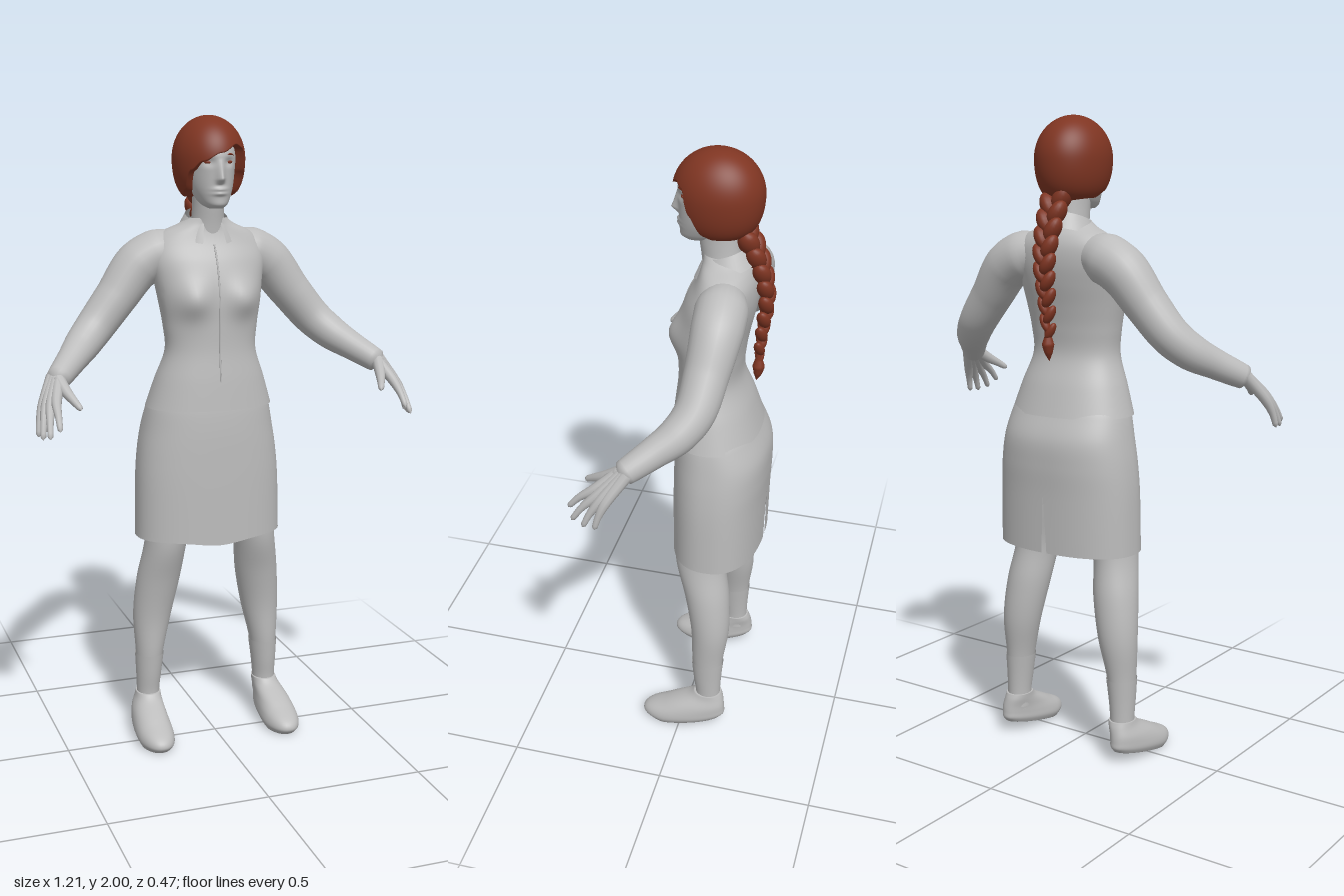
import * as THREE from 'three';
import { mergeVertices } from 'three/addons/utils/BufferGeometryUtils.js';

const grey = new THREE.MeshStandardMaterial({ color: 0xbcbcbc, side: THREE.DoubleSide });
grey.name = 'pale grey';
const auburn = new THREE.MeshStandardMaterial({ color: 0x7f3522, side: THREE.DoubleSide });
auburn.name = 'auburn hair';

const mesh = (name, geometry, material = grey) => {
  const m = new THREE.Mesh(geometry, material);
  m.name = name;
  return m;
};

// weld seams and give smooth normals
function smooth(g) {
  g.deleteAttribute('uv');
  g.deleteAttribute('normal');
  g = mergeVertices(g, 1e-5);
  g.computeVertexNormals();
  return g;
}

// closed surface from fn(u, v): u runs around from the back, v runs upward
function grid(cols, rows, fn) {
  const pos = [], index = [];
  for (let i = 0; i <= rows; i++)
    for (let j = 0; j <= cols; j++) pos.push(...fn(j / cols, i / rows));
  for (let i = 0; i < rows; i++)
    for (let j = 0; j < cols; j++) {
      const a = i * (cols + 1) + j, d = a + cols + 1;
      index.push(a, a + 1, d + 1, a, d + 1, d);
    }
  const g = new THREE.BufferGeometry();
  g.setAttribute('position', new THREE.Float32BufferAttribute(pos, 3));
  g.setIndex(index);
  return smooth(g);
}

// sections, bottom to top: [y, centre x, half width, front z, back z]
function loft(sections, { cols = 48, rows = 40, power = 2, gap = () => 0, rule, cap = false } = {}) {
  const n = sections.length - 1;
  const at = (v) => {
    const i = Math.min(Math.floor(v * n), n - 1), t = v * n - i;
    const [p, q, r, s] = [-1, 0, 1, 2].map((k) => sections[Math.min(Math.max(i + k, 0), n)]);
    return q.map((b, k) => b + 0.5 * t * (r[k] - p[k] +
      t * (2 * p[k] - 5 * b + 4 * r[k] - s[k] + t * (3 * (b - r[k]) + s[k] - p[k]))));
  };
  const bend = (c) => Math.sign(c) * Math.abs(c) ** (2 / power);
  const lo = cap ? 1 / (rows + 2) : 0;
  return grid(cols, cap ? rows + 2 : rows, (u, v) => {
    const w = Math.min(Math.max((v - lo) / (1 - 2 * lo), 0), 1);
    const k = cap && (v < lo / 2 || v > 1 - lo / 2) ? 0 : 1;
    const [y, cx, rx, front, back] = at(w);
    const a = (u * 2 - 1) * (Math.PI - gap(y));
    const p = [cx + k * rx * bend(Math.sin(a)), y,
      (front + back) / 2 + k * (front - back) / 2 * bend(Math.cos(a))];
    if (rule) rule(p);
    return p;
  });
}

// round limb through points [x, y, z, radius]
function limb(points, segments = 40, sides = 20) {
  const curve = new THREE.CatmullRomCurve3(points.map((p) => new THREE.Vector3(p[0], p[1], p[2])));
  const g = new THREE.TubeGeometry(curve, segments, 1, sides);
  const pos = g.attributes.position, v = new THREE.Vector3();
  for (let i = 0; i < pos.count; i++) {
    const u = Math.floor(i / (sides + 1)) / segments;
    const t = curve.getUtoTmapping(u) * (points.length - 1);
    const k = Math.min(Math.floor(t), points.length - 2);
    const r = THREE.MathUtils.lerp(points[k][3], points[k + 1][3], t - k);
    const c = curve.getPointAt(u);
    v.fromBufferAttribute(pos, i).sub(c).multiplyScalar(r).add(c);
    pos.setXYZ(i, v.x, v.y, v.z);
  }
  return smooth(g);
}

const bell = (d, w) => Math.exp(-((d / w) ** 2));
const bust = (x, y) => 0.032 * bell(Math.abs(x) - 0.085, 0.055) * bell(y - 1.445, 0.055);

function createClothes() {
  const g = new THREE.Group();
  g.name = 'clothes';
  const torso = [
    [1.1, 0, 0.205, 0.068, -0.207], [1.19, 0, 0.177, 0.06, -0.178], [1.28, 0, 0.147, 0.05, -0.145],
    [1.36, 0, 0.152, 0.048, -0.148], [1.43, 0, 0.163, 0.046, -0.16], [1.5, 0, 0.175, 0.04, -0.176],
    [1.56, 0, 0.185, 0.022, -0.185], [1.61, 0, 0.178, -0.005, -0.183], [1.645, 0, 0.145, -0.018, -0.17],
    [1.67, 0, 0.09, -0.022, -0.15], [1.69, 0, 0.06, -0.022, -0.135]];
  g.add(mesh('jacket', loft(torso, {
    cols: 72, rows: 70, power: 2.2, rule: (p) => { if (p[2] > -0.03) p[2] += bust(p[0], p[1]); },
  })));
  // front fastening line
  g.add(mesh('placket', limb(torso.slice(1, 8).map(([y, , , z]) => [0, y, z + bust(0, y), 0.003]), 30, 6)));

  // collar, open at the front and sloping forward
  const collar = new THREE.CylinderGeometry(0.066, 0.094, 0.055, 40, 4, true, 0.42, Math.PI * 2 - 0.84);
  const pos = collar.attributes.position;
  for (let i = 0; i < pos.count; i++) pos.setY(i, pos.getY(i) - pos.getZ(i) * 0.32);
  collar.translate(0, 1.668, -0.085);
  g.add(mesh('collar', smooth(collar)));

  // skirt with a slit at the back
  g.add(mesh('skirt', loft([
    [0.675, 0, 0.24, 0.06, -0.225], [0.85, 0, 0.236, 0.06, -0.23], [0.95, 0, 0.228, 0.059, -0.235],
    [1.03, 0, 0.215, 0.057, -0.232], [1.1, 0, 0.2, 0.052, -0.205], [1.13, 0, 0.188, 0.045, -0.19]], {
    cols: 72, power: 2.35,
    gap: (y) => Math.max(0, 0.86 - y) * 0.12,
    rule: (p) => { if (p[2] > 0) p[1] -= 0.015 * bell(p[0], 0.09) * bell(p[1] - 0.675, 0.05); },
  })));
  return g;
}

function createArm(s, side) {
  const g = new THREE.Group();
  g.name = side + 'Arm';
  const flip = (pts) => pts.map(([x, ...rest]) => [x * s, ...rest]);
  g.add(mesh('sleeve', limb(flip([
    [0.07, 1.59, -0.1, 0.055], [0.15, 1.578, -0.11, 0.078], [0.215, 1.543, -0.112, 0.076],
    [0.29, 1.45, -0.102, 0.066], [0.365, 1.36, -0.085, 0.06], [0.415, 1.312, -0.048, 0.055],
    [0.46, 1.277, 0.005, 0.046], [0.522, 1.232, 0.08, 0.036], [0.527, 1.228, 0.086, 0.02]]), 60, 24)));
  // fingers share the palm: [knuckle, middle joint, tip]
  const fingers = {
    indexFinger: [[0.543, 1.18, 0.158], [0.548, 1.145, 0.205], [0.55, 1.112, 0.235]],
    middleFinger: [[0.558, 1.171, 0.147], [0.57, 1.128, 0.19], [0.576, 1.088, 0.218]],
    ringFinger: [[0.57, 1.163, 0.134], [0.583, 1.12, 0.163], [0.59, 1.08, 0.182]],
    littleFinger: [[0.577, 1.16, 0.118], [0.59, 1.12, 0.135], [0.596, 1.082, 0.146]],
  };
  Object.entries(fingers).forEach(([name, [a, b, c]], i) => {
    const end = c.map((q, k) => q + (q - b[k]) * 0.1);
    const wrist = [0.515 + i * 0.006, 1.24, 0.082 - i * 0.006];
    g.add(mesh(name, limb(flip([[...wrist, 0.02], [...a, 0.0155], [...b, 0.0105], [...c, 0.008], [...end, 0.001]]), 24, 10)));
  });
  g.add(mesh('thumb', limb(flip([[0.52, 1.235, 0.09, 0.02], [0.508, 1.205, 0.135, 0.017],
    [0.493, 1.182, 0.175, 0.012], [0.482, 1.166, 0.2, 0.009], [0.48, 1.162, 0.206, 0.001]]), 24, 10)));
  return g;
}

function createLeg(s, side) {
  const g = new THREE.Group();
  g.name = side + 'Leg';
  const place = (rows) => rows.map(([y, x, ...rest]) => [y, x * s, ...rest]);
  g.add(mesh('leg', loft(place([
    [0.08, 0.205, 0.034, -0.05, -0.13], [0.14, 0.205, 0.034, -0.052, -0.129], [0.27, 0.2, 0.044, -0.037, -0.138],
    [0.4, 0.188, 0.062, -0.03, -0.155], [0.53, 0.17, 0.07, -0.005, -0.15], [0.66, 0.151, 0.067, 0.03, -0.133],
    [0.8, 0.13, 0.078, 0.035, -0.15], [0.95, 0.115, 0.09, 0.035, -0.17]]))));
  g.add(mesh('sock', loft(place([
    [0.09, 0.205, 0.037, -0.048, -0.132], [0.14, 0.205, 0.037, -0.049, -0.132],
    [0.2, 0.203, 0.041, -0.041, -0.135], [0.27, 0.2, 0.047, -0.034, -0.141]]), { rows: 12 })));
  // raised heel, wide rounded toe
  g.add(mesh('shoe', loft(place([
    [0, 0.217, 0.055, 0.115, -0.138], [0.02, 0.217, 0.063, 0.133, -0.15], [0.045, 0.217, 0.061, 0.118, -0.15],
    [0.075, 0.215, 0.054, 0.058, -0.148], [0.11, 0.208, 0.044, -0.018, -0.143], [0.135, 0.205, 0.04, -0.045, -0.136]]), {
    rows: 30, power: 2.2, cap: true,
    rule: (p) => {
      const back = THREE.MathUtils.clamp((0.06 - p[2]) / 0.2, 0, 1);
      p[0] = 0.212 * s + (p[0] - 0.212 * s) * (1 - 0.22 * back * (1 - p[1] / 0.14));
      p[1] += 0.04 * back * (1 - p[1] / 0.135);
    },
  })));
  return g;
}

function createHead() {
  const g = new THREE.Group();
  g.name = 'head';
  g.add(mesh('neck', loft([[1.61, 0, 0.065, -0.02, -0.135], [1.67, 0, 0.052, -0.015, -0.13],
    [1.72, 0, 0.049, -0.008, -0.125], [1.78, 0, 0.05, 0, -0.12]])));
  // face shaped with nose, lips and eye sockets
  g.add(mesh('face', loft([
    [1.722, 0, 0.022, 0.036, -0.03], [1.733, 0, 0.038, 0.049, -0.07], [1.752, 0, 0.051, 0.051, -0.1],
    [1.785, 0, 0.064, 0.052, -0.13], [1.83, 0, 0.072, 0.053, -0.15], [1.88, 0, 0.075, 0.056, -0.16],
    [1.93, 0, 0.066, 0.035, -0.145], [1.96, 0, 0.04, 0, -0.11]], {
    cols: 112, rows: 80, cap: true,
    rule: (p) => {
      const [x, y, z] = p;
      if (z < 0) return;
      const slope = y > 1.81 ? 1 - (y - 1.81) / 0.06 : 1 - (1.81 - y) / 0.016;
      p[2] += 0.025 * bell(x, 0.012) * Math.max(0, slope)
        + 0.008 * bell(x, 0.022) * (bell(y - 1.78, 0.006) + bell(y - 1.767, 0.006))
        - 0.01 * bell(Math.abs(x) - 0.032, 0.018) * bell(y - 1.861, 0.013);
    },
  })));
  for (const s of [1, -1]) {
    const eye = mesh(s > 0 ? 'leftEye' : 'rightEye', new THREE.SphereGeometry(1, 16, 10), auburn);
    eye.scale.set(0.013, 0.0055, 0.005);
    eye.position.set(0.033 * s, 1.861, 0.034);
    eye.rotation.y = 0.35 * s;
    g.add(eye, mesh(s > 0 ? 'leftBrow' : 'rightBrow', limb([[0.014 * s, 1.879, 0.05, 0.002],
      [0.034 * s, 1.885, 0.043, 0.003], [0.052 * s, 1.88, 0.024, 0.0015]], 12, 6), auburn));
  }
  return g;
}

function createHair() {
  const g = new THREE.Group();
  g.name = 'hair';
  // lower edge of the hair by angle from the front, with a fringe swept to one side
  const edge = [[-180, 1.745], [-90, 1.755], [-70, 1.775], [-50, 1.835], [-30, 1.862], [0, 1.888],
    [30, 1.912], [48, 1.9], [60, 1.83], [75, 1.768], [90, 1.755], [180, 1.745]];
  const edgeY = (deg) => {
    const k = Math.max(1, edge.findIndex((e) => e[0] >= deg - 1e-6));
    const [a, b] = [edge[k - 1], edge[k]];
    return THREE.MathUtils.lerp(a[1], b[1], THREE.MathUtils.smoothstep(deg, a[0], b[0]));
  };
  g.add(mesh('hairCap', grid(120, 48, (u, v) => {
    const a = (u * 2 - 1) * Math.PI;
    const tuck = Math.max(0, 0.1 - v) / 0.1;
    const end = Math.acos((edgeY(a * 180 / Math.PI) - 1.87) / 0.13);
    const theta = end * (1 - Math.max(0, (v - 0.1) / 0.9));
    const wide = Math.max(0, Math.sin(theta)) ** (theta > Math.PI / 2 ? 0.5 : 1) * (1 - 0.55 * tuck);
    return [0.111 * wide * Math.sin(a), 1.87 + 0.13 * Math.cos(theta), -0.063 + 0.134 * wide * Math.cos(a)];
  }), auburn));

  // plait of alternating leaning lobes
  const path = new THREE.CatmullRomCurve3([[1.755, -0.145], [1.69, -0.178], [1.62, -0.202], [1.55, -0.212],
    [1.46, -0.202], [1.36, -0.192]].map(([y, z]) => new THREE.Vector3(0.004, y, z)));
  const lobe = new THREE.SphereGeometry(1, 18, 12);
  const count = 17;
  for (let i = 0; i < count; i++) {
    const t = i / (count - 1), s = i % 2 ? 1 : -1, w = 1 - 0.55 * t;
    const m = mesh('plaitLobe', lobe, auburn);
    m.position.copy(path.getPointAt(t));
    m.position.x += s * 0.019 * w;
    m.scale.set(0.027 * w, 0.046 * (1 - 0.35 * t), 0.033 * w);
    m.rotation.set(0.15, 0, -s * 0.5);
    g.add(m);
  }
  g.add(mesh('plaitTail', limb([[0.004, 1.37, -0.193, 0.009], [0.004, 1.345, -0.192, 0.011],
    [0.004, 1.32, -0.192, 0.019], [0.004, 1.295, -0.19, 0.013], [0.004, 1.27, -0.186, 0.001]], 24, 12), auburn));
  return g;
}

export function createModel() {
  const model = new THREE.Group();
  model.name = 'standingWoman';
  model.add(createClothes(), createHead(), createHair());
  for (const [s, side] of [[1, 'left'], [-1, 'right']]) model.add(createArm(s, side), createLeg(s, side));
  return model;
}
